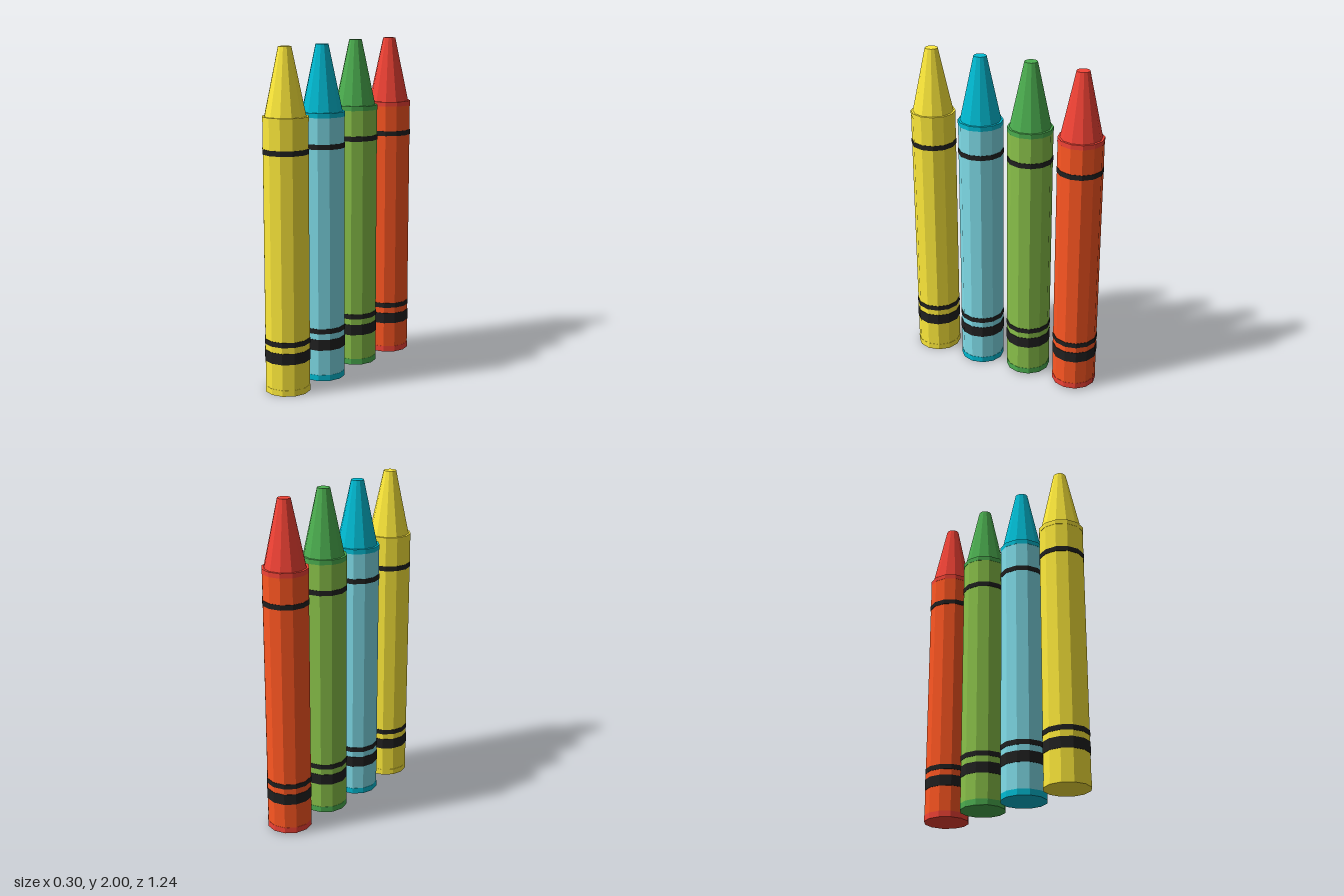
import * as THREE from 'three';

const SIDES = 12;
const R = 0.134;

function material(color) {
  return new THREE.MeshStandardMaterial({ color, flatShading: true });
}

// Open sleeve between two heights
function sleeve(name, radius, y0, y1, mat, open = true) {
  const geometry = new THREE.CylinderGeometry(radius, radius, y1 - y0, SIDES, 1, open);
  const mesh = new THREE.Mesh(geometry, mat);
  mesh.position.y = (y0 + y1) / 2;
  mesh.name = name;
  return mesh;
}

function createCrayon(name, waxColor, wrapperColor) {
  const crayon = new THREE.Group();
  crayon.name = name;
  const wax = material(waxColor);
  const black = material(0x212121);

  // Wax stick: base, recessed shaft, collar, shoulder and blunt tip
  const profile = [
    [0, 0], [R, 0], [R, 0.036], [R - 0.004, 0.036], [R - 0.004, 1.574],
    [R, 1.574], [R, 1.602], [0.121, 1.602], [0.038, 1.988], [0, 1.988],
  ].map(([x, y]) => new THREE.Vector2(x, y));
  const stick = new THREE.Mesh(new THREE.LatheGeometry(profile, SIDES), wax);
  stick.name = 'waxStick';
  crayon.add(stick);

  // Paper wrapper
  crayon.add(sleeve('wrapper', R - 0.0015, 0.036, 1.574, material(wrapperColor)));

  // Printed bands, closed so their thin edges show
  [['wideBand', 0.19, 0.256], ['lowerBand', 0.292, 0.322], ['upperBand', 1.392, 1.422]]
    .forEach(([band, y0, y1]) => crayon.add(sleeve(band, R + 0.001, y0, y1, black, false)));

  return crayon;
}

export function createModel() {
  const group = new THREE.Group();
  group.name = 'crayons';

  // Row of four, front to back: name, wax, wrapper, x, y, z
  const row = [
    ['yellowCrayon', 0xffeb3b, 0xffeb3b, 0.014, 0, 0.484],
    ['blueCrayon', 0x00bcd4, 0x80deea, 0.002, 0, 0.161],
    ['greenCrayon', 0x4caf50, 0x8bc34a, -0.016, 0.012, -0.16],
    ['redCrayon', 0xf44336, 0xff5722, -0.015, 0.012, -0.484],
  ];
  for (const [name, wax, wrapper, x, y, z] of row) {
    const crayon = createCrayon(name, wax, wrapper);
    crayon.position.set(x, y, z);
    group.add(crayon);
  }
  return group;
}
